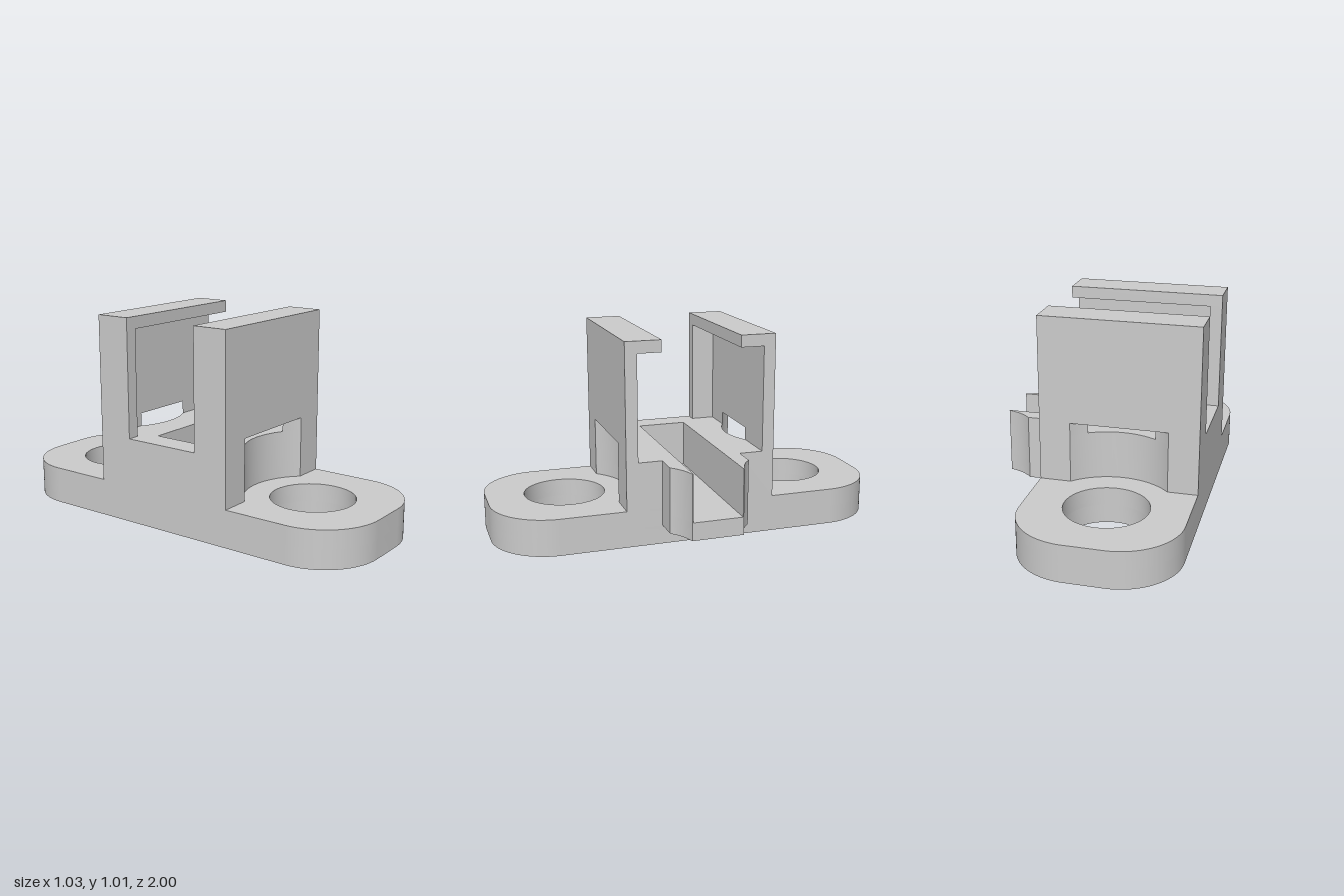
import * as THREE from 'three';
import { toCreasedNormals } from 'three/addons/utils/BufferGeometryUtils.js';

const LEFT = -0.515, RIGHT = 0.27, TIP = 0.515;   // body ends and tongue tip in x
const CX = -0.125, HOLE_Z = 0.605;                // screw hole centre
const HEAD_R = 0.33, HOLE_R = 0.205;              // head clearance and hole radii

const material = new THREE.MeshStandardMaterial({ color: 0xcccccc });

// Plan outline (x, z) raised from y0 to y1
function slab(name, outline, y0, y1) {
  const shape = outline instanceof THREE.Shape
    ? outline
    : new THREE.Shape(outline.map(([x, z]) => new THREE.Vector2(x, -z)));
  const geometry = new THREE.ExtrudeGeometry(shape, { depth: y1 - y0, bevelEnabled: false, curveSegments: 24 });
  geometry.rotateX(-Math.PI / 2).translate(0, y0, 0);
  const mesh = new THREE.Mesh(toCreasedNormals(geometry, 0.5), material);
  mesh.name = name;
  return mesh;
}

const flip = (points) => points.map(([x, z]) => [x, -z]);
const mirrored = (half) => [...half, ...flip(half).reverse()];
const rect = (x0, x1, z0, z1) => [[x0, z0], [x1, z0], [x1, z1], [x0, z1]];

// Arc of the screw head clearance between two angles
function headArc(a0, a1, n = 20) {
  return Array.from({ length: n + 1 }, (_, i) => {
    const a = a0 + (a1 - a0) * i / n;
    return [CX + HEAD_R * Math.sin(a), HOLE_Z - HEAD_R * Math.cos(a)];
  });
}
const angleAt = (z) => Math.acos((HOLE_Z - z) / HEAD_R);

// Rounded plate outline with its two screw holes
function plateShape() {
  const r = 0.3, s = new THREE.Shape();
  s.absarc(RIGHT - r, 1 - r, r, 0, Math.PI / 2);
  s.absarc(LEFT + r, 1 - r, r, Math.PI / 2, Math.PI);
  s.absarc(LEFT + r, -1 + r, r, Math.PI, Math.PI * 1.5);
  s.absarc(RIGHT - r, -1 + r, r, Math.PI * 1.5, Math.PI * 2);
  s.closePath();
  for (const z of [-HOLE_Z, HOLE_Z]) {
    s.holes.push(new THREE.Path().absarc(CX, z, HOLE_R, 0, Math.PI * 2, true));
  }
  return s;
}

export function createModel() {
  const model = new THREE.Group();
  model.name = 'mountingBracket';

  // Base plate, with a blind pocket underneath
  const lower = plateShape();
  lower.holes.push(new THREE.Path(
    rect(CX - 0.087, CX + 0.087, -0.18, 0.18).map(([x, z]) => new THREE.Vector2(x, z))));
  model.add(slab('basePlateLower', lower, 0, 0.095));
  model.add(slab('basePlateUpper', plateShape(), 0.095, 0.185));

  // Tongue with concave tapered sides
  const taper = new THREE.QuadraticBezierCurve(
    new THREE.Vector2(0.39, 0.2), new THREE.Vector2(0.438, 0.15), new THREE.Vector2(TIP, 0.13),
  ).getPoints(10).map((p) => [p.x, p.y]);
  model.add(slab('tongueFloor', mirrored([[RIGHT, 0.2], ...taper]), 0.095, 0.185));

  // Central block and tongue sides around the open channel
  const outer = angleAt(0.38), inner = angleAt(0.32);
  model.add(slab('channelBlock', mirrored([
    [LEFT, 0.38], ...headArc(-outer, outer), [RIGHT, 0.38], [RIGHT, 0.2],
    ...taper, [TIP, 0.125], [-0.39, 0.125],
  ]), 0.185, 0.425));

  // Two recessed walls, cut through at the foot by the head clearance
  const endX = LEFT + 0.06;
  const footLeft = [[LEFT, 0.38], ...headArc(-outer, -inner, 8), [endX, 0.32], [endX, 0.2], [LEFT, 0.2]];
  const footRight = [[RIGHT, 0.38], ...headArc(outer, inner, 8), [RIGHT, 0.32]];
  const panel = [[LEFT, 0.38], [RIGHT, 0.38], [RIGHT, 0.32], [endX, 0.32], [endX, 0.2], [LEFT, 0.2]];
  for (const [name, side] of [['frontWall', (p) => p], ['backWall', flip]]) {
    const wall = new THREE.Group();
    wall.name = name;
    wall.add(
      slab('footLeft', side(footLeft), 0.425, 0.49),
      slab('footRight', side(footRight), 0.425, 0.49),
      slab('panel', side(panel), 0.49, 0.955),
      slab('topLip', side(rect(LEFT, RIGHT, 0.2, 0.38)), 0.955, 1.015),
    );
    model.add(wall);
  }
  return model;
}
